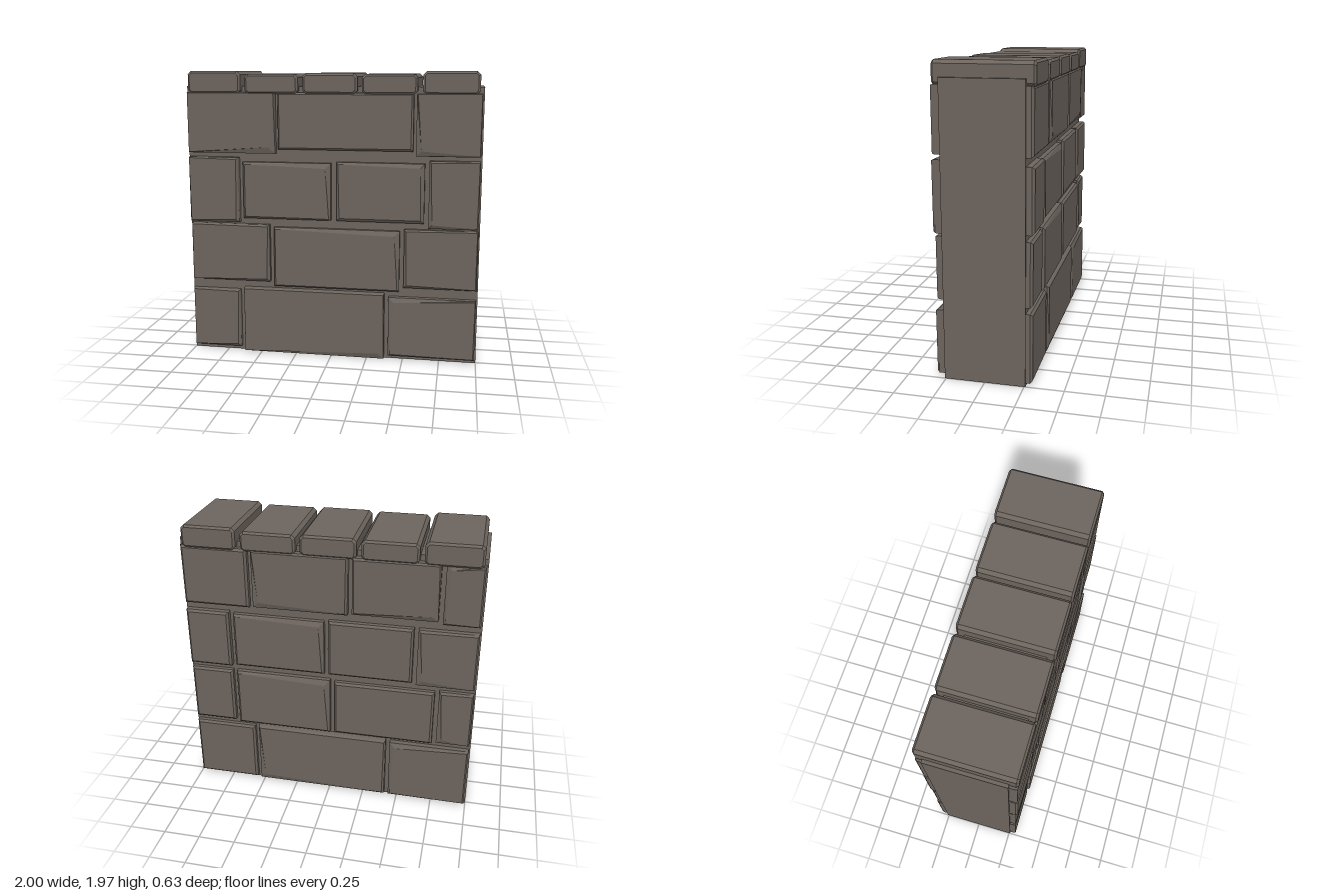
import * as THREE from 'three';

const CORE_Z = 0.258;

// Brick with a chamfered face: x0, x1, y0, y1, face z, and the face inset of
// each corner (bottom left, bottom right, top right, top left).
function brickGeometry(x0, x1, y0, y1, z, insets = [0.015, 0.015, 0.015, 0.015]) {
  const corners = [[x0, y0, 1, 1], [x1, y0, -1, 1], [x1, y1, -1, -1], [x0, y1, 1, -1]];
  const root = corners.map(([x, y]) => [x, y, CORE_Z - 0.03]);
  const rim = corners.map(([x, y]) => [x, y, z - 0.015]);
  const face = corners.map(([x, y, sx, sy], i) => [x + sx * insets[i], y + sy * insets[i], z]);
  const positions = [];
  const quad = (a, b, c, d) => positions.push(...a, ...b, ...c, ...a, ...c, ...d);
  for (let i = 0; i < 4; i++) {
    const j = (i + 1) % 4;
    quad(root[i], root[j], rim[j], rim[i]);
    quad(rim[i], rim[j], face[j], face[i]);
  }
  quad(...face);
  const geometry = new THREE.BufferGeometry();
  geometry.setAttribute('position', new THREE.Float32BufferAttribute(positions, 3));
  geometry.computeVertexNormals();
  return geometry;
}

// Coping stone with every edge chamfered, lying across the wall.
function capGeometry(width, height, depth, b = 0.014) {
  const w = width / 2 - b, h = height / 2 - b;
  const shape = new THREE.Shape([
    [-w + b, -h], [w - b, -h], [w, -h + b], [w, h - b],
    [w - b, h], [-w + b, h], [-w, h - b], [-w, -h + b],
  ].map(([x, y]) => new THREE.Vector2(x, y)));
  const geometry = new THREE.ExtrudeGeometry(shape, {
    depth: depth - 2 * b, bevelEnabled: true, bevelSize: b, bevelThickness: b, bevelSegments: 1,
  });
  return geometry.translate(0, 0, -depth / 2 + b);
}

export function createModel() {
  const stone = new THREE.MeshStandardMaterial({ color: 0x6c645d, flatShading: true });
  stone.name = 'stone';
  const wall = new THREE.Group();
  wall.name = 'brickWall';

  const add = (parent, geometry, name) => {
    const mesh = new THREE.Mesh(geometry, stone);
    mesh.name = name;
    parent.add(mesh);
    return mesh;
  };

  // Solid core
  add(wall, new THREE.BoxGeometry(2, 1.87, CORE_Z * 2), 'core').position.y = 0.935;

  // Front courses, bottom to top
  const front = [
    [-0.99, -0.65, 0.03, 0.45, 0.3, [0.005, 0.02, 0.01, 0.005]],
    [-0.62, 0.37, 0.005, 0.47, 0.31, [0.005, 0.04, 0.006, 0.005]],
    [0.40, 0.99, 0.03, 0.45, 0.31, [0.015, 0.01, 0.005, 0.035]],
    [-0.99, -0.43, 0.52, 0.925, 0.3, [0.005, 0.02, 0.012, 0.008]],
    [-0.40, 0.47, 0.49, 0.91, 0.3, [0.012, 0.012, 0.035, 0.012]],
    [0.50, 0.99, 0.52, 0.925, 0.3, [0.02, 0.008, 0.005, 0.012]],
    [-0.99, -0.64, 0.94, 1.39, 0.315, [0.01, 0.02, 0.012, 0.005]],
    [-0.61, 0.00, 0.97, 1.36, 0.305, [0.015, 0.012, 0.035, 0.015]],
    [0.04, 0.63, 0.97, 1.37, 0.305, [0.02, 0.02, 0.03, 0.012]],
    [0.66, 0.99, 0.94, 1.39, 0.315, [0.025, 0.01, 0.005, 0.012]],
    [-0.99, -0.38, 1.42, 1.83, 0.31, [0.005, 0.045, 0.006, 0.005]],
    [-0.36, 0.55, 1.45, 1.83, 0.305, [0.012, 0.015, 0.012, 0.012]],
    [0.57, 0.99, 1.42, 1.83, 0.31, [0.035, 0.006, 0.005, 0.008]],
  ];

  // Back courses, laid out as seen from behind
  const back = [
    [-0.99, -0.55, 0.02, 0.47, 0.3],
    [-0.52, 0.41, 0.02, 0.48, 0.31, [0.04, 0.015, 0.01, 0.01]],
    [0.44, 0.99, 0.02, 0.47, 0.31, [0.015, 0.01, 0.01, 0.035]],
    [-0.99, -0.69, 0.51, 0.92, 0.3],
    [-0.66, 0.01, 0.5, 0.92, 0.305, [0.015, 0.015, 0.04, 0.015]],
    [0.04, 0.73, 0.5, 0.91, 0.3],
    [0.76, 0.99, 0.51, 0.92, 0.3, [0.035, 0.01, 0.01, 0.015]],
    [-0.99, -0.69, 0.96, 1.37, 0.31],
    [-0.66, -0.03, 0.97, 1.36, 0.305, [0.015, 0.015, 0.035, 0.015]],
    [0.00, 0.57, 0.97, 1.37, 0.305],
    [0.60, 0.99, 0.96, 1.37, 0.31, [0.04, 0.01, 0.01, 0.015]],
    [-0.99, -0.54, 1.42, 1.83, 0.305],
    [-0.51, 0.13, 1.43, 1.83, 0.315, [0.04, 0.015, 0.01, 0.01]],
    [0.16, 0.72, 1.44, 1.83, 0.315, [0.015, 0.035, 0.01, 0.012]],
    [0.75, 0.99, 1.42, 1.83, 0.305, [0.015, 0.01, 0.01, 0.035]],
  ];

  for (const [name, bricks, turn] of [['frontBricks', front, 0], ['backBricks', back, Math.PI]]) {
    const side = new THREE.Group();
    side.name = name;
    side.rotation.y = turn;
    bricks.forEach((b) => add(side, brickGeometry(...b), 'brick'));
    wall.add(side);
  }

  // Coping stones: x centre and top height
  const caps = [[-0.795, 1.97], [-0.4, 1.952], [-0.003, 1.957], [0.392, 1.952], [0.79, 1.97]];
  for (const [x, top] of caps) {
    const base = 1.82;
    add(wall, capGeometry(0.365, top - base, 0.625), 'copingStone').position.set(x, (top + base) / 2, 0);
  }

  return wall;
}
